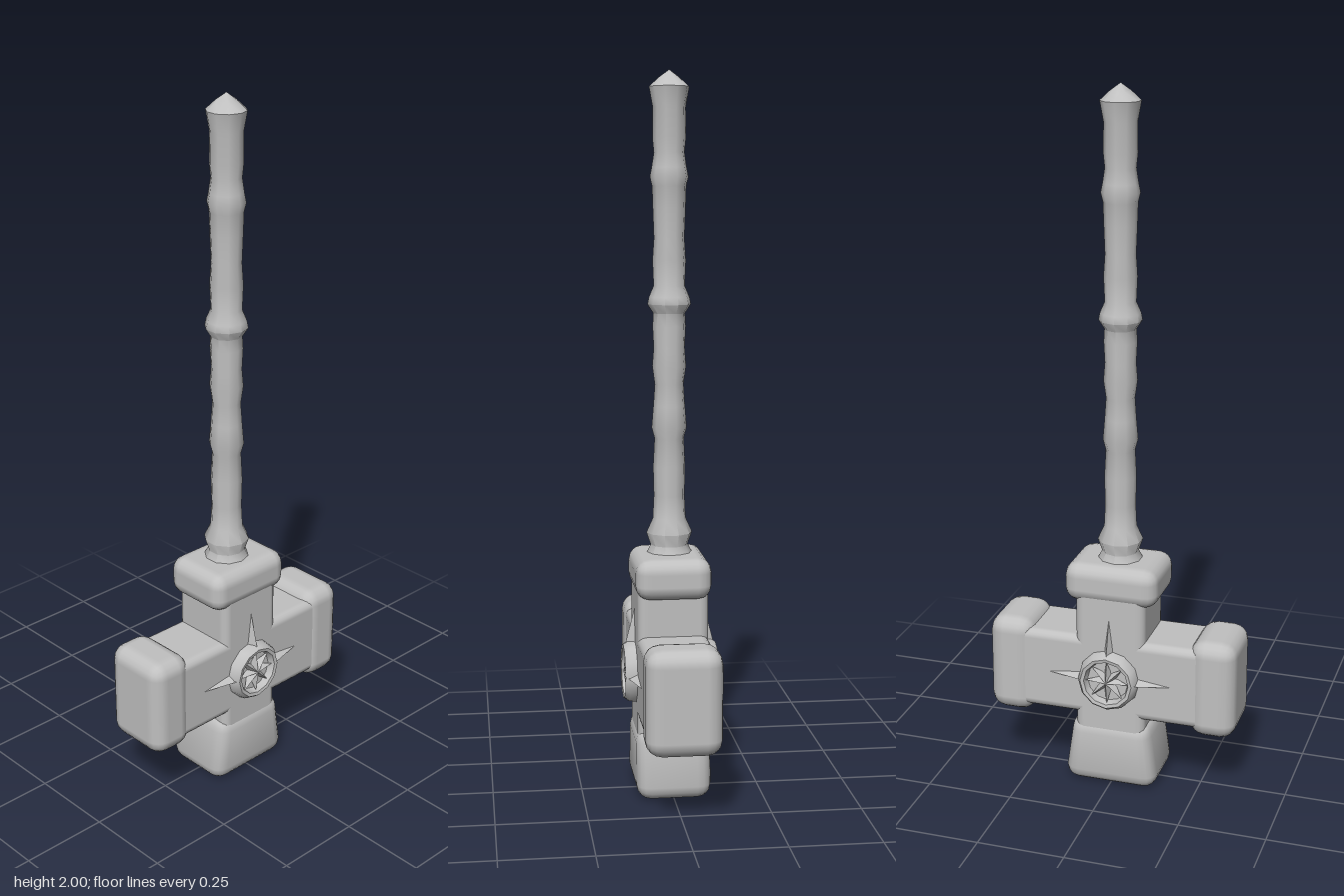
import * as THREE from 'three';
import { RoundedBoxGeometry } from 'three/addons/geometries/RoundedBoxGeometry.js';
import { toCreasedNormals } from 'three/addons/utils/BufferGeometryUtils.js';

const CENTRE_Y = 0.34;

export function createModel() {
  const model = new THREE.Group();
  model.name = 'warHammer';
  const steel = new THREE.MeshStandardMaterial({ color: 0xc0c0c0 });
  steel.name = 'grey steel';

  function add(parent, name, geometry, x = 0, y = 0, z = 0) {
    const mesh = new THREE.Mesh(geometry, steel);
    mesh.name = name;
    mesh.position.set(x, y, z);
    parent.add(mesh);
    return mesh;
  }
  const block = (w, h, d, r) => new RoundedBoxGeometry(w, h, d, 2, r);

  // Head: two crossed bars with a heavier block on each end
  const head = new THREE.Group();
  head.name = 'head';
  head.position.y = CENTRE_Y;
  model.add(head);
  add(head, 'horizontalBar', block(0.6, 0.242, 0.197, 0.025));
  add(head, 'verticalBar', block(0.205, 0.6, 0.197, 0.025));
  for (const s of [-1, 1]) {
    add(head, s < 0 ? 'rightStrikingBlock' : 'leftStrikingBlock', block(0.135, 0.292, 0.208, 0.045), s * 0.298);
  }
  add(head, 'topBlock', block(0.272, 0.115, 0.21, 0.04), 0, 0.2825);

  // Tall bottom block, narrowing upwards into the bar
  const bottom = block(0.272, 0.2, 0.208, 0.04);
  const p = bottom.attributes.position;
  for (let i = 0; i < p.count; i++) {
    if (p.getY(i) > 0) p.setX(i, p.getX(i) * 0.87);
  }
  bottom.computeVertexNormals();
  add(head, 'bottomBlock', toCreasedNormals(bottom, 0.9), 0, -0.24);

  // Low tapered ridges running out from the medallions: left, up and right
  for (const quarter of [-1, 0, 1]) {
    const arm = new THREE.Group();
    arm.name = ['leftRidge', 'topRidge', 'rightRidge'][quarter + 1];
    arm.rotation.z = quarter * Math.PI / 2;
    head.add(arm);
    const ridge = new THREE.CylinderGeometry(0.095, 0.128, 0.13, 4);
    ridge.scale(0.5, 1, 1);
    add(arm, 'ridgeBody', toCreasedNormals(ridge, 0.5), 0, 0.13);
  }

  // Medallions: a raised ring around an eight-pointed faceted star
  for (const side of [1, -1]) {
    const medallion = new THREE.Group();
    medallion.name = side > 0 ? 'frontMedallion' : 'backMedallion';
    medallion.rotation.y = side > 0 ? 0 : Math.PI;
    head.add(medallion);
    const profile = [[0.092, 0.085], [0.086, 0.118], [0.076, 0.131], [0.066, 0.129], [0.06, 0.108], [0, 0.108]]
      .map(([r, z]) => new THREE.Vector2(r, z));
    const ring = new THREE.LatheGeometry(profile, 12);
    ring.rotateX(Math.PI / 2);
    add(medallion, 'medallionRing', toCreasedNormals(ring, 0.9));
    add(medallion, 'medallionStar', starGeometry(8, 0.066, 0.026));
  }

  // Shaft: uneven grip with collar, bands and a pointed cap
  const shaftProfile = [
    [0.068, 0.67], [0.052, 0.7], [0.064, 0.735], [0.046, 0.775],
    [0.043, 0.84], [0.045, 0.92], [0.041, 1.0], [0.049, 1.03], [0.044, 1.09],
    [0.04, 1.15], [0.047, 1.2], [0.043, 1.25], [0.046, 1.31], [0.044, 1.345],
    [0.06, 1.37], [0.056, 1.39], [0.043, 1.42], [0.046, 1.49], [0.042, 1.55],
    [0.045, 1.63], [0.047, 1.69], [0.053, 1.715], [0.048, 1.74], [0.042, 1.78],
    [0.046, 1.82], [0.045, 1.9], [0.055, 1.955], [0.028, 1.98], [0, 2.0],
  ].map(([r, y]) => new THREE.Vector2(r, y));
  const shaft = new THREE.LatheGeometry(shaftProfile, 10);
  add(model, 'shaft', toCreasedNormals(shaft, 0.8), -0.004);

  return model;
}

// Star facing +z with ridged points and low valleys between them
function starGeometry(points, outer, inner) {
  const rim = i => {
    const a = i * Math.PI / points;
    const r = i % 2 ? inner : outer;
    return [r * Math.cos(a), r * Math.sin(a), i % 2 ? 0.106 : 0.12];
  };
  const positions = [];
  for (let i = 0; i < points * 2; i++) {
    positions.push(0, 0, 0.13, ...rim(i), ...rim(i + 1));
  }
  const geometry = new THREE.BufferGeometry();
  geometry.setAttribute('position', new THREE.Float32BufferAttribute(positions, 3));
  geometry.computeVertexNormals();
  return geometry;
}
